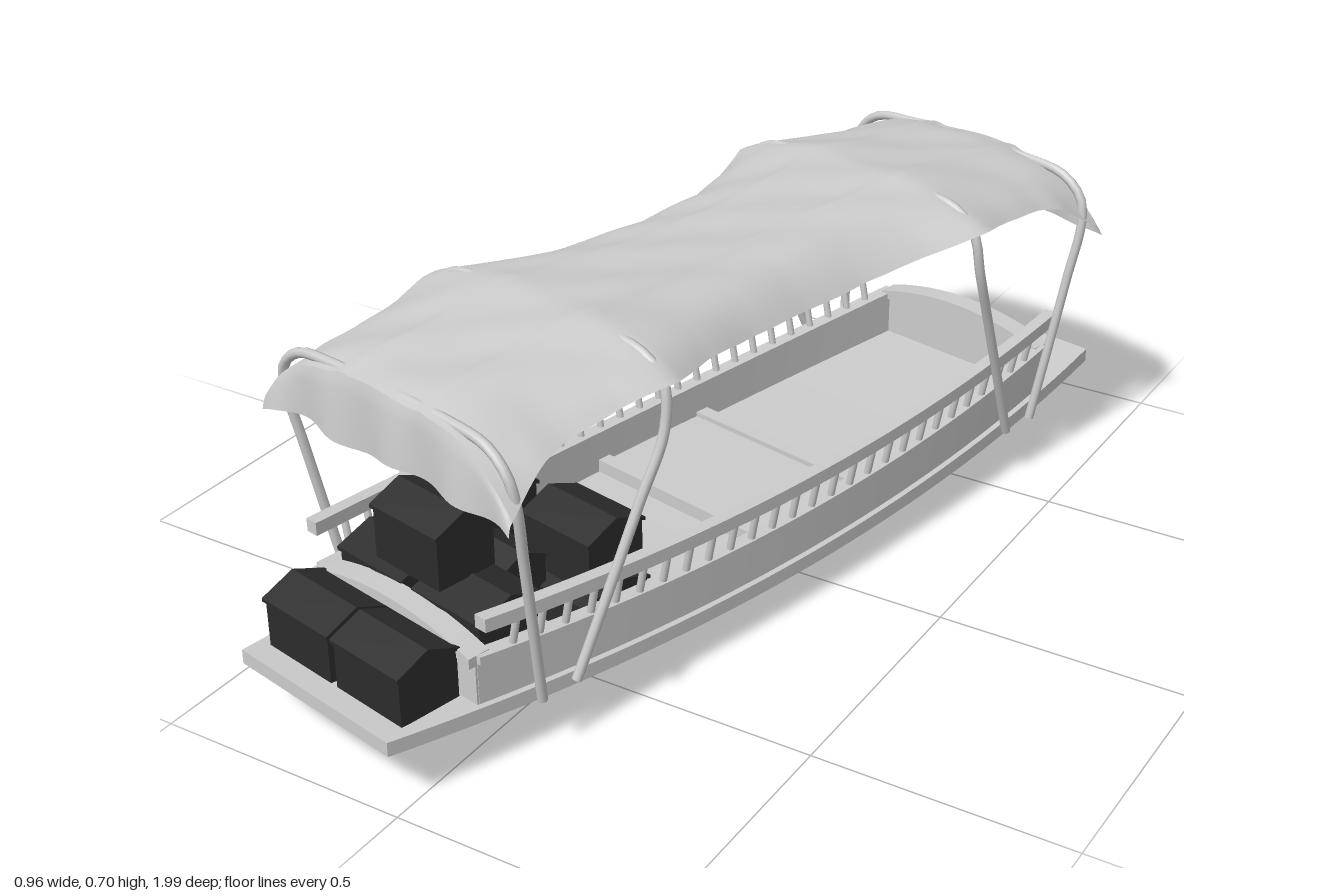
import * as THREE from 'three';

const grey = new THREE.MeshStandardMaterial({ color: 0xcccccc });
const cloth = new THREE.MeshStandardMaterial({ color: 0xcccccc, side: THREE.DoubleSide });
const dark = new THREE.MeshStandardMaterial({ color: 0x2c2c2c });
const L = 0.977; // half length of the boat

// plan and sheer curves along the boat
const sq = z => (z / L) ** 2;
const half = z => 0.195 + 0.075 * (1 - sq(z));
const keel = z => 0.105 * sq(z);
const deckLow = z => 0.075 + 0.04 * sq(z);
const deckTop = z => deckLow(z) + 0.028;
const wallTop = z => 0.19 + 0.05 * sq(z);
const railMid = z => 0.268 + 0.042 * sq(z);

// straight interpolation in a small table of [position, value]
function table(rows, p) {
  let i = 1;
  while (i < rows.length - 1 && p > rows[i][0]) i++;
  const [a, b] = [rows[i - 1], rows[i]];
  return THREE.MathUtils.mapLinear(Math.min(p, b[0]), a[0], b[0], a[1], b[1]);
}
const canopyHalf = z => table([[0, 0.235], [0.15, 0.24], [0.3, 0.27], [0.42, 0.315], [0.52, 0.29], [0.64, 0.28], [0.74, 0.3], [0.79, 0.315]], Math.abs(z));
const canopyTop = z => table([[0, 0.675], [0.25, 0.68], [0.42, 0.69], [0.6, 0.668], [0.74, 0.657], [0.79, 0.645]], Math.abs(z));
const canopyEdge = z => table([[0, 0.592], [0.2, 0.6], [0.42, 0.63], [0.6, 0.605], [0.7, 0.585], [0.79, 0.53]], Math.abs(z));
function canopyY(u, z) {
  const seam = 0.005 * Math.exp(-(((Math.abs(u) - 0.32) / 0.05) ** 2));
  const sag = 0.004 * Math.sin(u * 9 + z * 11) * Math.sin(z * 17);
  return canopyEdge(z) + (canopyTop(z) - canopyEdge(z)) * (1 - Math.abs(u) ** 3.6) + seam + sag;
}

export function createModel() {
  const root = new THREE.Group();
  const boat = new THREE.Group();
  boat.name = 'boat';
  boat.rotation.y = -0.21;
  root.add(boat);

  function add(name, geo, mat = grey, parent = boat) {
    const m = new THREE.Mesh(geo, mat);
    m.name = name;
    parent.add(m);
    return m;
  }
  function group(name) {
    const g = new THREE.Group();
    g.name = name;
    boat.add(g);
    return g;
  }
  // move each vertex of a geometry by a rule
  function warp(geo, rule) {
    const p = geo.attributes.position;
    for (let i = 0; i < p.count; i++) p.setXYZ(i, ...rule(p.getX(i), p.getY(i), p.getZ(i)));
    geo.computeVertexNormals();
    return geo;
  }
  // bar that follows the side of the boat
  function sideStrip(name, s, end, offset, width, low, high) {
    add(name, warp(new THREE.BoxGeometry(1, 1, 1, 1, 1, 32), (x, y, z) => {
      const zz = z * 2 * end;
      return [s * (half(zz) + offset) + x * width, y < 0 ? low(zz) : high(zz), zz];
    }));
  }
  // rod between two points
  function rod(name, a, b, r, parent) {
    const d = b.clone().sub(a);
    const m = add(name, new THREE.CylinderGeometry(r, r, d.length(), 8), grey, parent);
    m.position.copy(a).add(b).multiplyScalar(0.5);
    m.quaternion.setFromUnitVectors(new THREE.Vector3(0, 1, 0), d.normalize());
  }
  const V = (x, y, z) => new THREE.Vector3(x, y, z);

  // hull bottom and full length deck
  add('hull', warp(new THREE.PlaneGeometry(2, 2, 28, 40).rotateX(Math.PI / 2), (u, _, v) => {
    const z = v * L;
    return [u * (half(z) - 0.004), keel(z) + (deckLow(z) + 0.002 - keel(z)) * Math.abs(u) ** 2.5, z];
  }));
  add('deck', warp(new THREE.BoxGeometry(1, 1, 1, 1, 1, 40), (x, y, z) => {
    const zz = z * 2 * L;
    return [x * 2 * half(zz), y < 0 ? deckLow(zz) : deckTop(zz), zz];
  }));

  // side walls, rims, rails and balusters
  const balusters = group('balusters');
  for (const s of [-1, 1]) {
    sideStrip('sideWall', s, 0.79, -0.02, 0.016, deckLow, wallTop);
    sideStrip('wallRim', s, 0.79, -0.019, 0.03, z => wallTop(z) - 0.012, z => wallTop(z) + 0.004);
    sideStrip('handrail', s, 0.79, 0.001, 0.026, z => railMid(z) - 0.012, z => railMid(z) + 0.014);
    for (let i = -13; i <= 13; i++) {
      const z = i * 0.055;
      rod('baluster', V(s * (half(z) - 0.016), wallTop(z), z), V(s * half(z), railMid(z), z), 0.007, balusters);
    }
  }

  // arched end walls with a thicker curved rim
  for (const s of [-1, 1]) {
    const w = half(0.79) - 0.013;
    const side = wallTop(0.79);
    const panel = new THREE.Shape();
    panel.moveTo(-w, 0.1);
    panel.lineTo(w, 0.1);
    panel.lineTo(w, side);
    panel.quadraticCurveTo(0, side + 0.065, -w, side);
    panel.closePath();
    add('endWall', new THREE.ExtrudeGeometry(panel, { depth: 0.018, bevelEnabled: false, curveSegments: 16 }))
      .position.z = s * 0.785 - 0.009;
    const rim = new THREE.Shape();
    rim.moveTo(-w, side - 0.016);
    rim.quadraticCurveTo(0, side + 0.049, w, side - 0.016);
    rim.lineTo(w, side + 0.004);
    rim.quadraticCurveTo(0, side + 0.069, -w, side + 0.004);
    add('endRim', new THREE.ExtrudeGeometry(rim, { depth: 0.045, bevelEnabled: false, curveSegments: 16 }))
      .position.z = s * 0.785 - 0.0225;
  }

  // floor beams and raised floor panel
  for (const z of [-0.22, 0.06]) {
    add('floorBeam', new THREE.BoxGeometry(0.49, 0.03, 0.03)).position.set(0, 0.115, z);
  }
  add('floorPanel', new THREE.BoxGeometry(0.49, 0.016, 0.25)).position.set(0, 0.112, -0.08);

  // bent tube hoops, mirrored front to back
  for (const s of [-1, 1]) {
    for (const [base, top, y] of [[0.61, 0.42, 0.672], [0.69, 0.77, 0.638]]) {
      const z = t => s * (base + (top - base) * t);
      const right = [
        V(0.255, 0.11, z(0)), V(0.27, 0.26, z(0.33)), V(0.285, 0.42, z(0.68)), V(0.296, 0.54, z(0.94)),
        V(0.285, y - 0.05, z(1)), V(0.24, y - 0.012, z(1)), V(0.14, y, z(1)),
      ];
      const left = right.map(p => V(-p.x, p.y, p.z)).reverse();
      add('canopyHoop', new THREE.TubeGeometry(new THREE.CatmullRomCurve3([...right, ...left]), 72, 0.0095, 8));
    }
  }
  // long poles beneath the cloth
  for (const x of [-0.09, 0.09]) {
    const pts = [-0.77, -0.42, 0, 0.42, 0.77].map(z => V(x, canopyTop(z) - 0.012, z));
    add('canopyPole', new THREE.TubeGeometry(new THREE.CatmullRomCurve3(pts), 40, 0.005, 6));
  }

  // draped cloth roof
  add('canopy', warp(new THREE.PlaneGeometry(2, 2, 48, 80).rotateX(-Math.PI / 2), (u, _, v) => {
    const z = v * 0.79;
    return [u * canopyHalf(z), canopyY(u, z), z];
  }), cloth);
  // hanging flaps at both ends
  for (const s of [-1, 1]) {
    add('canopyFlap', warp(new THREE.PlaneGeometry(2, 1, 48, 8), (u, y) => {
      const t = 0.5 - y;
      const top = canopyY(u, 0.79 * s);
      const low = Math.min(top, 0.522 + 0.006 * Math.sin(u * 7) - 0.02 * u ** 8);
      const wave = 0.007 * Math.sin(u * 13) * t;
      return [u * (canopyHalf(0.79) + 0.006 * t), top + (low - top) * t, s * (0.79 + 0.012 * Math.sqrt(t) + wave)];
    }), cloth);
  }

  // crates with gabled lids: x, base y, z, width, height, depth
  const crates = group('crates');
  const crateList = [
    [-0.092, 0.138, 0.868, 0.168, 0.122, 0.125],
    [0.092, 0.138, 0.868, 0.168, 0.122, 0.125],
    [-0.1, 0.12, 0.69, 0.165, 0.165, 0.14],
    [0.1, 0.12, 0.69, 0.165, 0.165, 0.14],
    [0.005, 0.285, 0.7, 0.165, 0.13, 0.125],
    [-0.12, 0.11, 0.49, 0.165, 0.1, 0.15],
    [-0.12, 0.21, 0.49, 0.165, 0.125, 0.13],
    [0.11, 0.11, 0.45, 0.165, 0.1, 0.15],
    [0.11, 0.21, 0.45, 0.165, 0.125, 0.13],
    [0, 0.11, 0.57, 0.16, 0.16, 0.11],
  ];
  for (const [x, y, z, w, h, d] of crateList) {
    const e = h - 0.025;
    const body = new THREE.Shape([[-d / 2, 0], [d / 2, 0], [d / 2, e], [0, h], [-d / 2, e]].map(p => new THREE.Vector2(...p)));
    const lid = new THREE.Shape([[-d / 2 - 0.005, e - 0.006], [0, h - 0.004], [d / 2 + 0.005, e - 0.006],
      [d / 2 + 0.005, e + 0.001], [0, h + 0.004], [-d / 2 - 0.005, e + 0.001]].map(p => new THREE.Vector2(...p)));
    for (const [name, shape, width] of [['crate', body, w], ['crateLid', lid, w + 0.008]]) {
      const geo = new THREE.ExtrudeGeometry(shape, { depth: width, bevelEnabled: false });
      geo.translate(0, 0, -width / 2).rotateY(Math.PI / 2);
      add(name, geo, dark, crates).position.set(x, y, z);
    }
  }
  return root;
}
